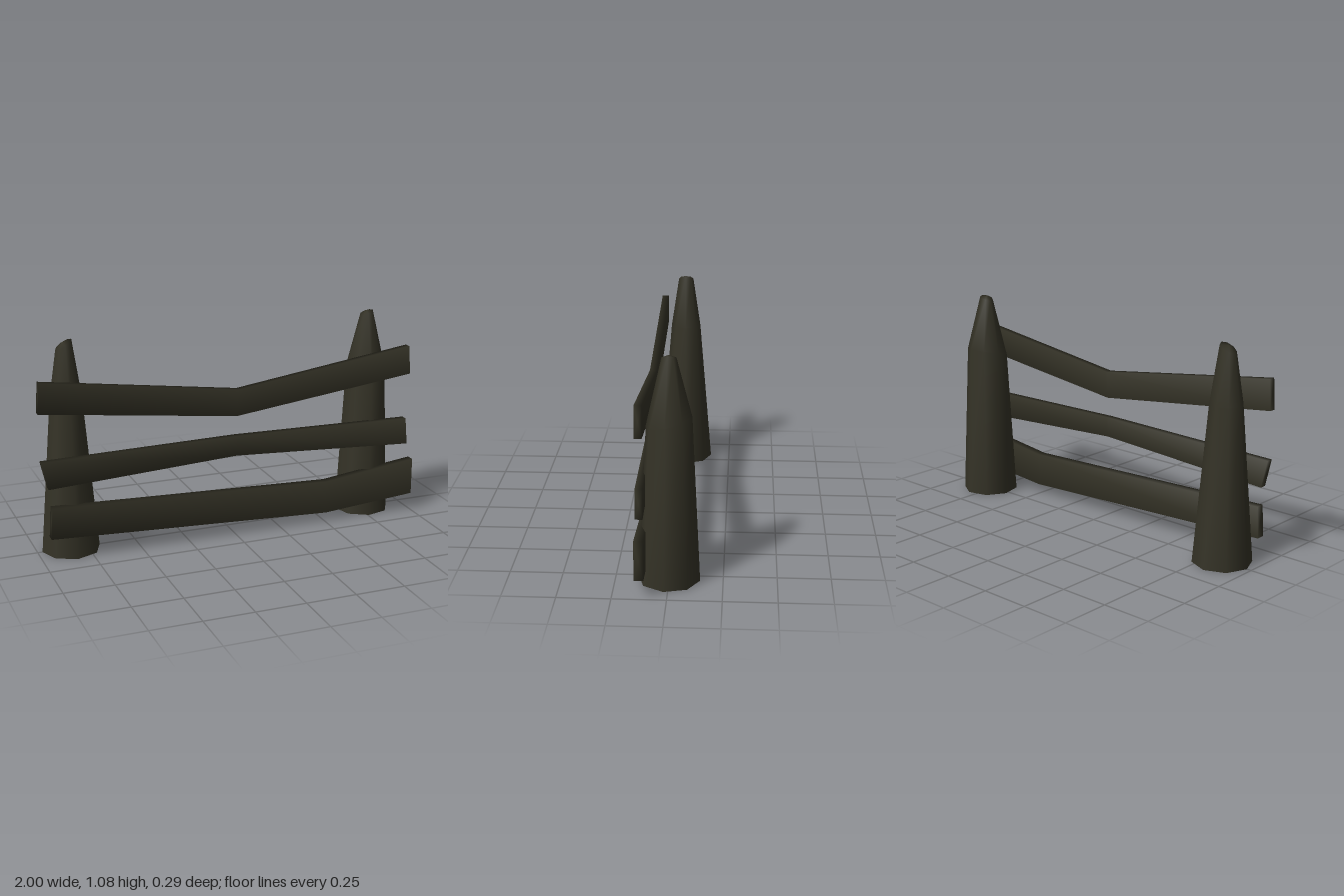
import * as THREE from 'three';

const SIDES = 8;

// Skin a list of equal-sized point loops, with optional fan caps
function loft(rings, startTip, endTip) {
  const n = rings[0].length;
  const points = rings.flat();
  const index = [];
  for (let i = 0; i < rings.length - 1; i++) {
    for (let j = 0; j < n; j++) {
      const a = i * n + j, b = i * n + (j + 1) % n;
      index.push(a, b, b + n, a, b + n, a + n);
    }
  }
  const cap = (tip, base, flip) => {
    const c = points.push(tip) - 1;
    for (let j = 0; j < n; j++) {
      const a = base + j, b = base + (j + 1) % n;
      index.push(...(flip ? [b, a, c] : [a, b, c]));
    }
  };
  if (startTip) cap(startTip, 0, true);
  if (endTip) cap(endTip, (rings.length - 1) * n, false);
  const geometry = new THREE.BufferGeometry().setFromPoints(points);
  geometry.setIndex(index);
  geometry.computeVertexNormals();
  return geometry;
}

// Post ring: x centre, height, radius and tilt along x and z
function postRing({ x, y, r, tx = 0, tz = 0 }, phase) {
  return Array.from({ length: SIDES }, (_, j) => {
    const a = phase + (j / SIDES) * Math.PI * 2;
    const dx = r * Math.sin(a), dz = r * Math.cos(a);
    return new THREE.Vector3(x + dx, y + tx * dx + tz * dz, dz);
  });
}

// Plank station: [top x, top y, bottom x, bottom y]
function plankRing([xt, yt, xb, yb], back, front) {
  return [
    new THREE.Vector3(xt, yt, back), new THREE.Vector3(xt, yt, front),
    new THREE.Vector3(xb, yb, front), new THREE.Vector3(xb, yb, back),
  ];
}

const middle = (ring) =>
  ring.reduce((s, p) => s.add(p), new THREE.Vector3()).divideScalar(ring.length);

export function createModel() {
  const group = new THREE.Group();
  const wood = new THREE.MeshStandardMaterial({ color: 0x343226, side: THREE.DoubleSide });
  wood.name = 'darkWood';
  const add = (name, geometry) => {
    const mesh = new THREE.Mesh(geometry, wood);
    mesh.name = name;
    group.add(mesh);
  };

  // Tapered posts, open underneath, with crooked cut tips
  const posts = [
    {
      name: 'rightPost', phase: 0, tip: [-0.835, 1.056, 0],
      rings: [
        { x: -0.83, y: 0, r: 0.146 },
        { x: -0.828, y: 0.78, r: 0.08 },
        { x: -0.83, y: 1.044, r: 0.04, tx: 0.6 },
      ],
    },
    {
      name: 'leftPost', phase: -0.14, tip: [0.775, 1.08, 0],
      rings: [
        { x: 0.777, y: 0, r: 0.145 },
        { x: 0.779, y: 0.775, r: 0.106, tz: -0.25 },
        { x: 0.775, y: 1.068, r: 0.034, tx: 0.35 },
      ],
    },
  ];
  for (const { name, phase, tip, rings } of posts) {
    add(name, loft(rings.map((r) => postRing(r, phase)), null, new THREE.Vector3(...tip)));
  }

  // Bent planks nailed across the front
  const planks = [
    {
      name: 'topPlank', z: [0.107, 0.142],
      stations: [[-0.99, 0.905, -1, 0.755], [0.01, 0.77, 0, 0.635], [0.955, 0.905, 0.967, 0.757]],
    },
    {
      name: 'middlePlank', z: [0.107, 0.142],
      stations: [[-0.995, 0.513, -0.963, 0.375], [0, 0.53, 0, 0.428], [0.952, 0.515, 0.965, 0.375]],
    },
    {
      name: 'bottomPlank', z: [0.103, 0.147],
      stations: [[-0.95, 0.277, -0.96, 0.12], [0.5, 0.223, 0.5, 0.052], [1, 0.285, 1, 0.093]],
    },
  ];
  for (const { name, z, stations } of planks) {
    const rings = stations.map((s) => plankRing(s, ...z));
    add(name, loft(rings, middle(rings[0]), middle(rings[rings.length - 1])));
  }
  return group;
}
